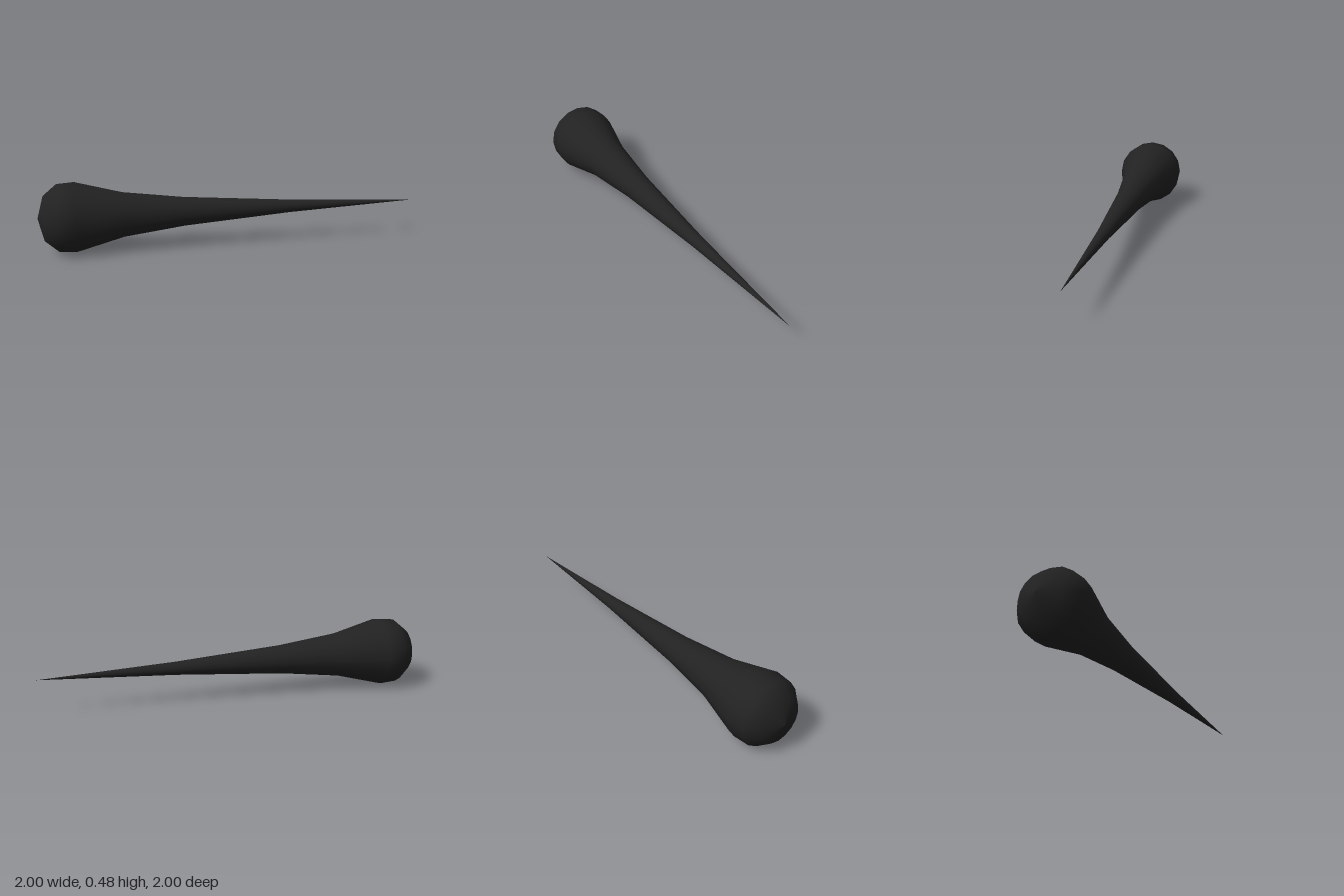
import * as THREE from 'three';

export function createModel() {
  const group = new THREE.Group();
  group.name = 'spike';

  // Profile as [radius, position along the axis], blunt end to tip
  const profile = [
    [0, -1.301], [0.156, -1.259], [0.233, -1.167], [0.242, -1.047],
    [0.156, -0.721], [0.102, -0.295], [0.046, 0.47], [0, 1.414],
  ].map(([r, u]) => new THREE.Vector2(r, u));

  const body = new THREE.Mesh(
    new THREE.LatheGeometry(profile, 16),
    new THREE.MeshStandardMaterial({ color: 0x222222 })
  );
  body.name = 'taperedBody';

  // Lay the axis flat on the diagonal, the tip towards +x and -z
  body.quaternion.setFromUnitVectors(
    new THREE.Vector3(0, 1, 0),
    new THREE.Vector3(1, 0, -1).normalize()
  );
  body.position.y = 0.242;
  group.add(body);
  return group;
}
